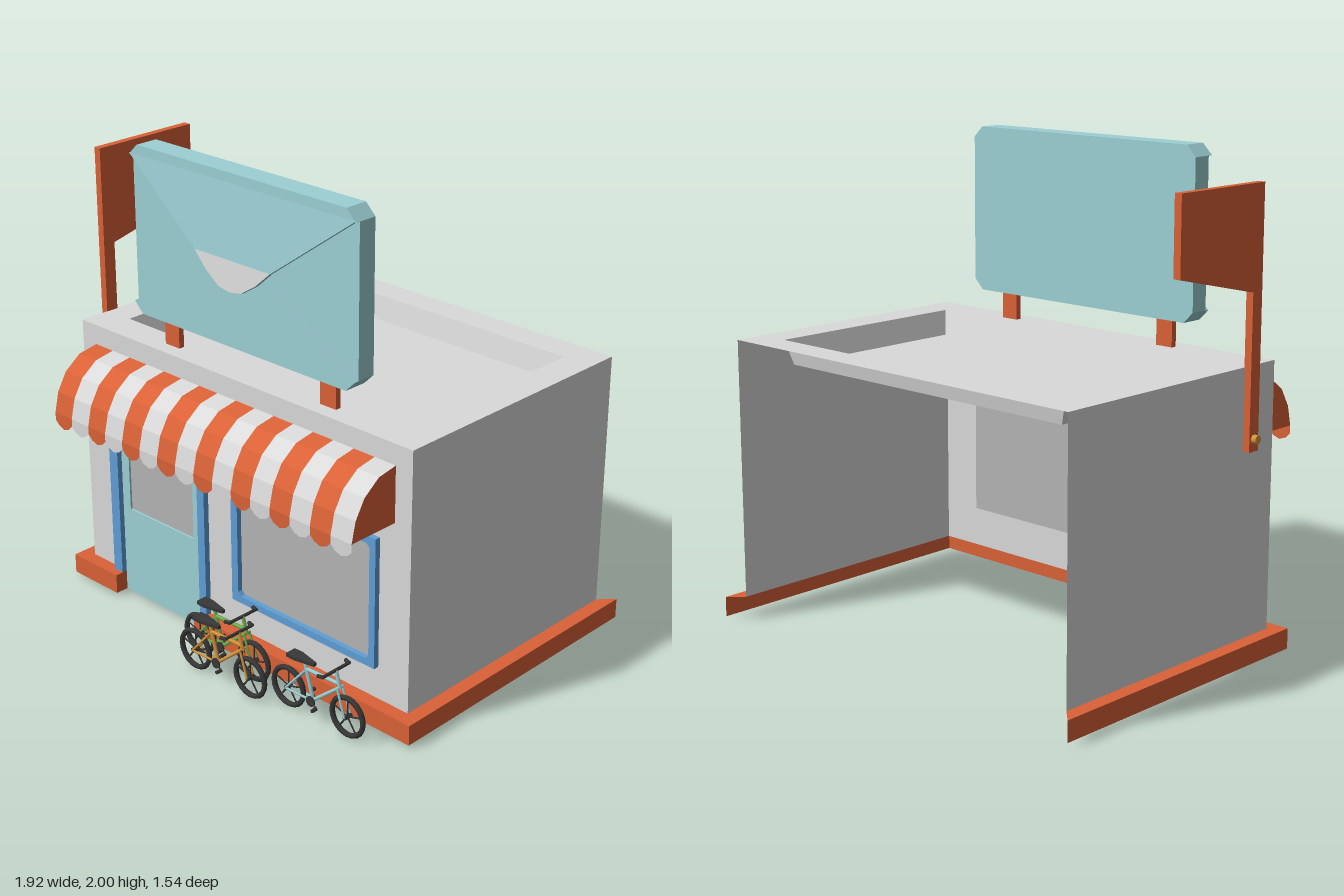
import * as THREE from 'three';

const mat = (name, color, double = true) => {
  const m = new THREE.MeshStandardMaterial({ color, side: double ? THREE.DoubleSide : THREE.FrontSide });
  m.name = name;
  return m;
};
const M = {
  plaster: mat('plaster white', 0xdadada),
  orange: mat('orange', 0xdb6237),
  teal: mat('pale teal', 0x9dd0d5),
  blue: mat('frame blue', 0x5f9fd6),
  glass: mat('glass grey', 0xb5b5b5),
  black: mat('tyre black', 0x383838),
  green: mat('bicycle green', 0x74b050),
  amber: mat('bicycle amber', 0xd8963c),
};

const add = (parent, name, geo, material) => {
  const mesh = new THREE.Mesh(geo, material);
  mesh.name = name;
  parent.add(mesh);
  return mesh;
};
// Box given by its limits on each axis
const box = (parent, name, material, [x0, x1], [y0, y1], [z0, z1]) => {
  const m = add(parent, name, new THREE.BoxGeometry(x1 - x0, y1 - y0, z1 - z0), material);
  m.position.set((x0 + x1) / 2, (y0 + y1) / 2, (z0 + z1) / 2);
  return m;
};
const poly = (pts) => new THREE.Shape(pts.map(([x, y]) => new THREE.Vector2(x, y)));
const rect = (x0, x1, y0, y1) => poly([[x0, y0], [x1, y0], [x1, y1], [x0, y1]]);
const withHole = (shape, hole) => { shape.holes.push(hole); return shape; };
const plate = (shape, z0, z1) =>
  new THREE.ExtrudeGeometry(shape, { depth: z1 - z0, bevelEnabled: false, curveSegments: 8 }).translate(0, 0, z0);

// Flat-shaded sheet joining successive rows of points
function sheet(rows) {
  const v = [];
  for (let r = 0; r + 1 < rows.length; r++) {
    for (let i = 0; i + 1 < rows[r].length; i++) {
      const a = rows[r][i], b = rows[r][i + 1], c = rows[r + 1][i + 1], d = rows[r + 1][i];
      v.push(...a, ...b, ...c, ...a, ...c, ...d);
    }
  }
  const g = new THREE.BufferGeometry();
  g.setAttribute('position', new THREE.Float32BufferAttribute(v, 3));
  g.computeVertexNormals();
  return g;
}
// Straight round bar between two points
function bar(parent, name, material, a, b, r = 0.007, sides = 6) {
  const A = new THREE.Vector3(...a), B = new THREE.Vector3(...b);
  const m = add(parent, name, new THREE.CylinderGeometry(r, r, A.distanceTo(B), sides), material);
  m.position.copy(A).lerp(B, 0.5);
  m.quaternion.setFromUnitVectors(new THREE.Vector3(0, 1, 0), B.sub(A).normalize());
  return m;
}

// Three-sided shell with a sunken roof, open at the back
function building() {
  const g = new THREE.Group();
  g.name = 'building';
  const front = poly([[-0.9, 0.1], [-0.69, 0.1], [-0.69, 0.87], [-0.21, 0.87], [-0.21, 0.1], [0.9, 0.1], [0.9, 1.19], [-0.9, 1.19]]);
  withHole(front, rect(0.02, 0.72, 0.27, 0.76));
  add(g, 'frontWall', new THREE.ShapeGeometry(front).translate(0, 0, 0.47), M.plaster);
  for (const s of [1, -1]) {
    const wall = new THREE.PlaneGeometry(1.18, 1.09).rotateY(s * Math.PI / 2).translate(s * 0.9, 0.645, -0.12);
    add(g, s > 0 ? 'leftWall' : 'rightWall', wall, M.plaster);
  }
  // shape y becomes -z when laid flat
  const rim = withHole(rect(-0.9, 0.9, -0.47, 0.71), rect(-0.77, 0.765, -0.33, 0.58));
  add(g, 'roofRim', new THREE.ShapeGeometry(rim).rotateX(-Math.PI / 2).translate(0, 1.19, 0), M.plaster);
  const loop = (x0, x1, z0, z1, y) => [[x0, y, z0], [x0, y, z1], [x1, y, z1], [x1, y, z0], [x0, y, z0]];
  add(g, 'roofRecess', sheet([loop(-0.77, 0.765, -0.58, 0.33, 1.19), loop(-0.735, 0.73, -0.56, 0.295, 1.09)]), M.plaster);
  add(g, 'roofFloor', new THREE.PlaneGeometry(1.465, 0.855).rotateX(-Math.PI / 2).translate(-0.0025, 1.09, -0.1325), M.plaster);

  // Plinth skirt either side of the door
  for (const [door, s, name] of [[-0.21, 1, 'plinthLeft'], [-0.69, -1, 'plinthRight']]) {
    const row = (o, y) => [[door, y, 0.47 + o], [s * (0.9 + o), y, 0.47 + o], [s * (0.9 + o), y, -0.71 - o]];
    const rows = [row(0, 0.1), row(0.06, 0.1), row(0.06, 0.015)];
    if (s > 0) rows.forEach((r) => r.reverse());
    const geo = sheet(rows.map((r) => (s > 0 ? r.reverse() : r)));
    add(g, name, geo, M.orange);
    add(g, name + 'End', new THREE.PlaneGeometry(0.06, 0.085).rotateY(-s * Math.PI / 2).translate(door, 0.0575, 0.5), M.orange);
  }
  return g;
}

function doorAndWindow() {
  const g = new THREE.Group();
  g.name = 'doorAndWindow';
  const door = withHole(rect(-0.69, -0.21, 0.015, 0.87), rect(-0.645, -0.26, 0.41, 0.82));
  add(g, 'door', plate(door, 0.455, 0.472), M.teal);
  box(g, 'doorGlass', M.glass, [-0.645, -0.26], [0.41, 0.82], [0.459, 0.463]);
  for (const [x0, x1] of [[-0.74, -0.69], [-0.21, -0.17]]) box(g, 'doorPost', M.blue, [x0, x1], [0.1, 0.91], [0.465, 0.495]);
  box(g, 'doorHeader', M.blue, [-0.69, -0.21], [0.87, 0.91], [0.465, 0.495]);
  const c = 0.015;
  const opening = poly([[0.02 + c, 0.27], [0.72 - c, 0.27], [0.72, 0.27 + c], [0.72, 0.76 - c], [0.72 - c, 0.76], [0.02 + c, 0.76], [0.02, 0.76 - c], [0.02, 0.27 + c]]);
  add(g, 'windowFrame', plate(withHole(rect(-0.015, 0.75, 0.24, 0.79), opening), 0.471, 0.495), M.blue);
  box(g, 'windowGlass', M.glass, [0.02, 0.72], [0.27, 0.76], [0.468, 0.473]);
  return g;
}

// Striped awning with a scalloped valance
function awning() {
  const g = new THREE.Group();
  g.name = 'awning';
  const profile = [[0.47, 1.105], [0.56, 1.09], [0.635, 1.035], [0.68, 0.96], [0.70, 0.875]];
  const n = 16, w = 1.64 / n;
  for (let i = 0; i < n; i++) {
    const x = -0.82 + i * w, m = i % 2 ? M.plaster : M.orange;
    add(g, 'awningStripe', sheet(profile.map(([z, y]) => [[x + w, y, z], [x, y, z]]).reverse()), m);
    const scallop = poly([[0, 0.875], [0, 0.842], [w * 0.2, 0.822], [w * 0.5, 0.811], [w * 0.8, 0.822], [w, 0.842], [w, 0.875]]);
    add(g, 'awningScallop', new THREE.ShapeGeometry(scallop).translate(x, 0, 0.7), m);
  }
  const end = poly([...profile, [0.47, 0.875]]);
  for (const s of [1, -1]) {
    // shape x becomes z
    add(g, 'awningEnd', new THREE.ShapeGeometry(end).rotateY(-Math.PI / 2).translate(s * 0.82, 0, 0), M.orange);
  }
  return g;
}

// Envelope-shaped roof sign on two legs
function roofSign() {
  const g = new THREE.Group();
  g.name = 'roofSign';
  const body = poly([[-0.55, 1.305], [0.55, 1.305], [0.595, 1.35], [0.595, 1.955], [0.55, 2], [-0.55, 2], [-0.595, 1.955], [-0.595, 1.35]]);
  add(g, 'envelopeBody', plate(body, 0.345, 0.425), M.teal);
  const lower = poly([[-0.55, 1.305], [0.55, 1.305], [0.595, 1.35], [0.15, 1.62], [0, 1.71], [-0.15, 1.62], [-0.595, 1.35]]);
  add(g, 'envelopeLowerFold', plate(lower, 0.425, 0.445), M.teal);
  add(g, 'envelopeTopEdge', plate(poly([[-0.595, 1.955], [0.595, 1.955], [0.55, 2], [-0.55, 2]]), 0.425, 0.445), M.teal);
  const tip = [[-0.2, -0.29], [-0.13, -0.355], [-0.06, -0.4], [0, -0.41], [0.06, -0.4], [0.13, -0.355], [0.2, -0.29]];
  const flap = new THREE.Group();
  flap.name = 'envelopeFlap';
  flap.position.set(0, 1.96, 0.44);
  flap.rotation.x = -0.11;
  add(flap, 'flap', plate(poly([[-0.595, 0], ...tip, [0.595, 0]]), -0.01, 0.005), M.teal);
  add(flap, 'flapTip', plate(poly(tip), 0.005, 0.007), M.plaster);
  g.add(flap);
  for (const s of [1, -1]) box(g, 'signLeg', M.orange, [s * 0.425 - 0.04, s * 0.425 + 0.04], [1.19, 1.31], [0.38, 0.405]);
  return g;
}

// Flag-shaped board on a pole beside the wall
function sideFlag() {
  const g = new THREE.Group();
  g.name = 'sideFlag';
  const shape = poly([[0.34, 0.86], [0.34, 1.89], [-0.15, 1.89], [-0.15, 1.58], [0.285, 1.48], [0.285, 0.86]]);
  add(g, 'flagAndPole', plate(shape, 0, 0.032).rotateY(-Math.PI / 2).translate(-0.897, 0, 0), M.orange);
  bar(g, 'flagPivot', M.amber, [-0.95, 0.91, 0.312], [-0.92, 0.91, 0.312], 0.018, 10);
  return g;
}

// Bicycle heading +x, with its rear axle at x
function bicycle(name, paint, x, z) {
  const g = new THREE.Group();
  g.name = name;
  const axle = 0.091, front = 0.308;
  for (const wx of [0, front]) {
    add(g, 'tyre', new THREE.TorusGeometry(0.079, 0.011, 6, 20).translate(wx, axle, 0), M.black);
    for (let k = 0; k < 5; k++) {
      const a = k * Math.PI * 2 / 5 + 0.3;
      bar(g, 'spoke', M.black, [wx, axle, 0], [wx + 0.073 * Math.cos(a), axle + 0.073 * Math.sin(a), 0], 0.004, 4);
    }
    bar(g, 'hub', M.black, [wx, axle, -0.018], [wx, axle, 0.018], 0.01);
    for (const s of [1, -1]) {
      const top = wx ? [0.268, 0.2, s * 0.014] : [0.092, 0.2, s * 0.008];
      bar(g, wx ? 'fork' : 'seatStay', paint, [wx, axle, s * 0.018], top, 0.005);
      if (!wx) bar(g, 'chainStay', paint, [0, axle, s * 0.018], [0.13, 0.085, s * 0.008], 0.005);
    }
  }
  bar(g, 'forkCrown', paint, [0.268, 0.2, -0.018], [0.268, 0.2, 0.018], 0.006);
  bar(g, 'seatTube', paint, [0.13, 0.085, 0], [0.085, 0.24, 0], 0.008);
  bar(g, 'topTube', paint, [0.094, 0.208, 0], [0.264, 0.215, 0], 0.008);
  bar(g, 'downTube', paint, [0.13, 0.085, 0], [0.268, 0.2, 0], 0.008);
  bar(g, 'steeringTube', paint, [0.27, 0.195, 0], [0.248, 0.268, 0], 0.008);
  const seat = poly([[0.01, 0.024], [0.05, 0.026], [0.14, 0.007], [0.14, -0.007], [0.05, -0.026], [0.01, -0.024]]);
  add(g, 'saddle', plate(seat, 0, 0.014).rotateX(-Math.PI / 2).translate(0, 0.238, 0), M.black);
  bar(g, 'handlebar', M.black, [0.248, 0.268, -0.077], [0.248, 0.268, 0.077], 0.007);
  for (const s of [1, -1]) {
    bar(g, 'grip', M.black, [0.248, 0.268, s * 0.07], [0.225, 0.268, s * 0.077], 0.008);
    bar(g, 'crank', M.black, [0.13, 0.085, s * 0.015], [0.13 + s * 0.035, 0.085 - s * 0.015, s * 0.02], 0.004);
    bar(g, 'pedal', M.black, [0.13 + s * 0.035, 0.085 - s * 0.015, s * 0.02], [0.13 + s * 0.035, 0.085 - s * 0.015, s * 0.045], 0.008);
  }
  bar(g, 'chainRing', M.black, [0.13, 0.085, 0.012], [0.13, 0.085, 0.018], 0.022, 12);
  g.position.set(x, 0, z);
  return g;
}

export function createModel() {
  const model = new THREE.Group();
  model.name = 'cornerShop';
  model.add(building(), doorAndWindow(), awning(), roofSign(), sideFlag());
  model.add(bicycle('greenBicycle', M.green, -0.1, 0.595));
  model.add(bicycle('amberBicycle', M.amber, -0.025, 0.69));
  model.add(bicycle('tealBicycle', M.teal, 0.433, 0.63));
  return model;
}
